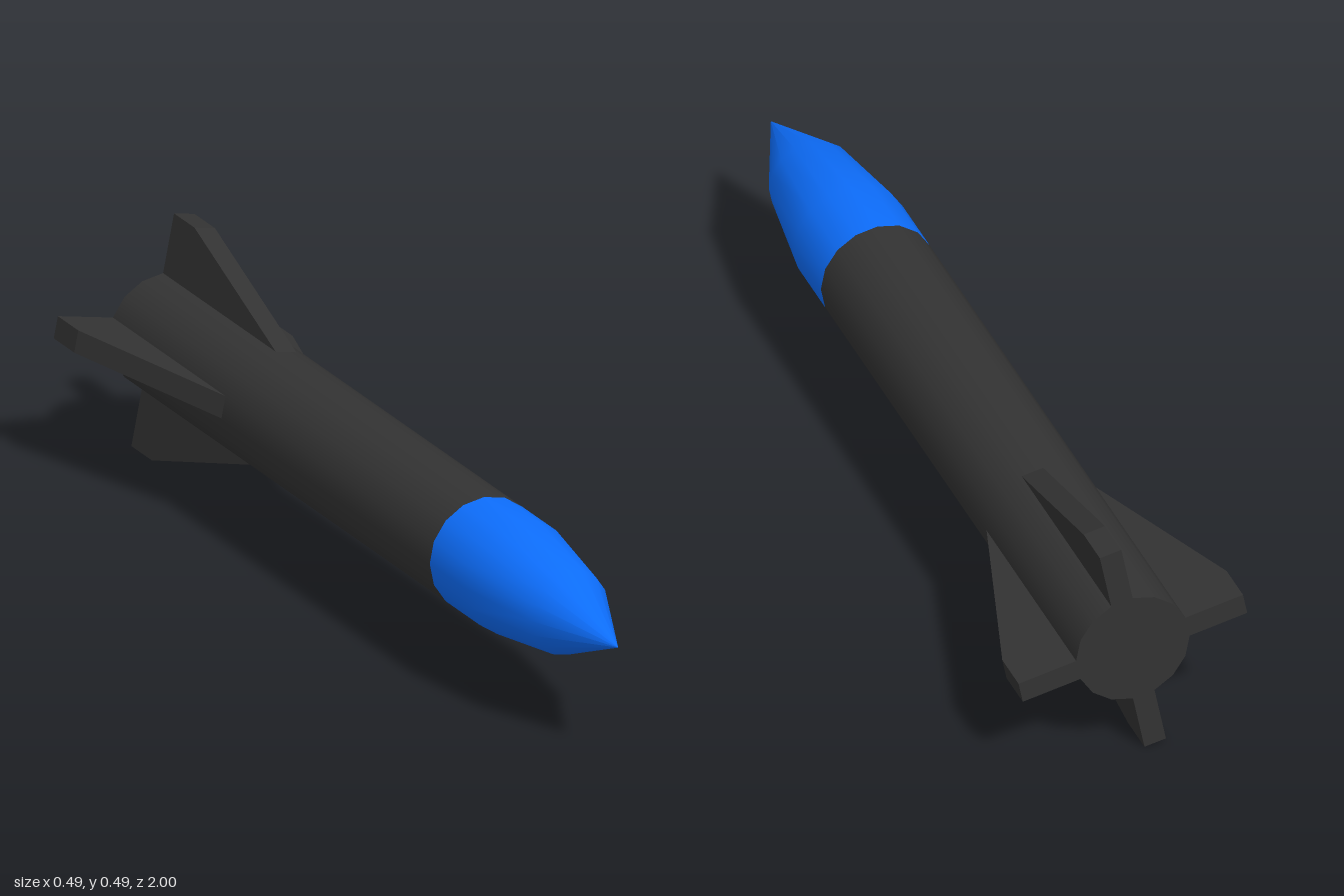
import * as THREE from 'three';

const SIDES = 16;
const RADIUS = 0.122;
const APOTHEM = RADIUS * Math.cos(Math.PI / SIDES);
const FIN_TIP = 0.246;
const FIN_WIDTH = 0.047;

export function createModel() {
  const model = new THREE.Group();
  model.name = 'rocket';
  const dark = new THREE.MeshStandardMaterial({ color: 0x333333 });
  const blue = new THREE.MeshStandardMaterial({ color: 0x0d6efd });

  const add = (name, geometry, material) => {
    const mesh = new THREE.Mesh(geometry, material);
    mesh.name = name;
    mesh.position.y = FIN_TIP;
    model.add(mesh);
    return mesh;
  };

  // Straight body tube, lying along z
  const body = new THREE.CylinderGeometry(RADIUS, RADIUS, 1.41, SIDES);
  body.rotateX(Math.PI / 2).translate(0, 0, -0.295);
  add('body', body, dark);

  // Pointed nose: short straight collar, then two tapers
  const profile = [[RADIUS, 0.41], [RADIUS, 0.56], [0.09, 0.78], [0, 1]]
    .map(([r, z]) => new THREE.Vector2(r, z));
  add('nose', new THREE.LatheGeometry(profile, SIDES).rotateX(Math.PI / 2), blue);

  // Four swept fins, each standing on one facet of the body
  const outline = new THREE.Shape([[-0.505, APOTHEM], [-0.91, FIN_TIP], [-1, FIN_TIP], [-1, APOTHEM]]
    .map(([z, r]) => new THREE.Vector2(z, r)));
  const fin = new THREE.ExtrudeGeometry(outline, { depth: FIN_WIDTH, bevelEnabled: false });
  fin.translate(0, 0, -FIN_WIDTH / 2).rotateY(-Math.PI / 2);
  ['topFin', 'rightFin', 'bottomFin', 'leftFin'].forEach((name, i) => {
    add(name, fin, dark).rotation.z = -Math.PI / SIDES + i * Math.PI / 2;
  });

  return model;
}
